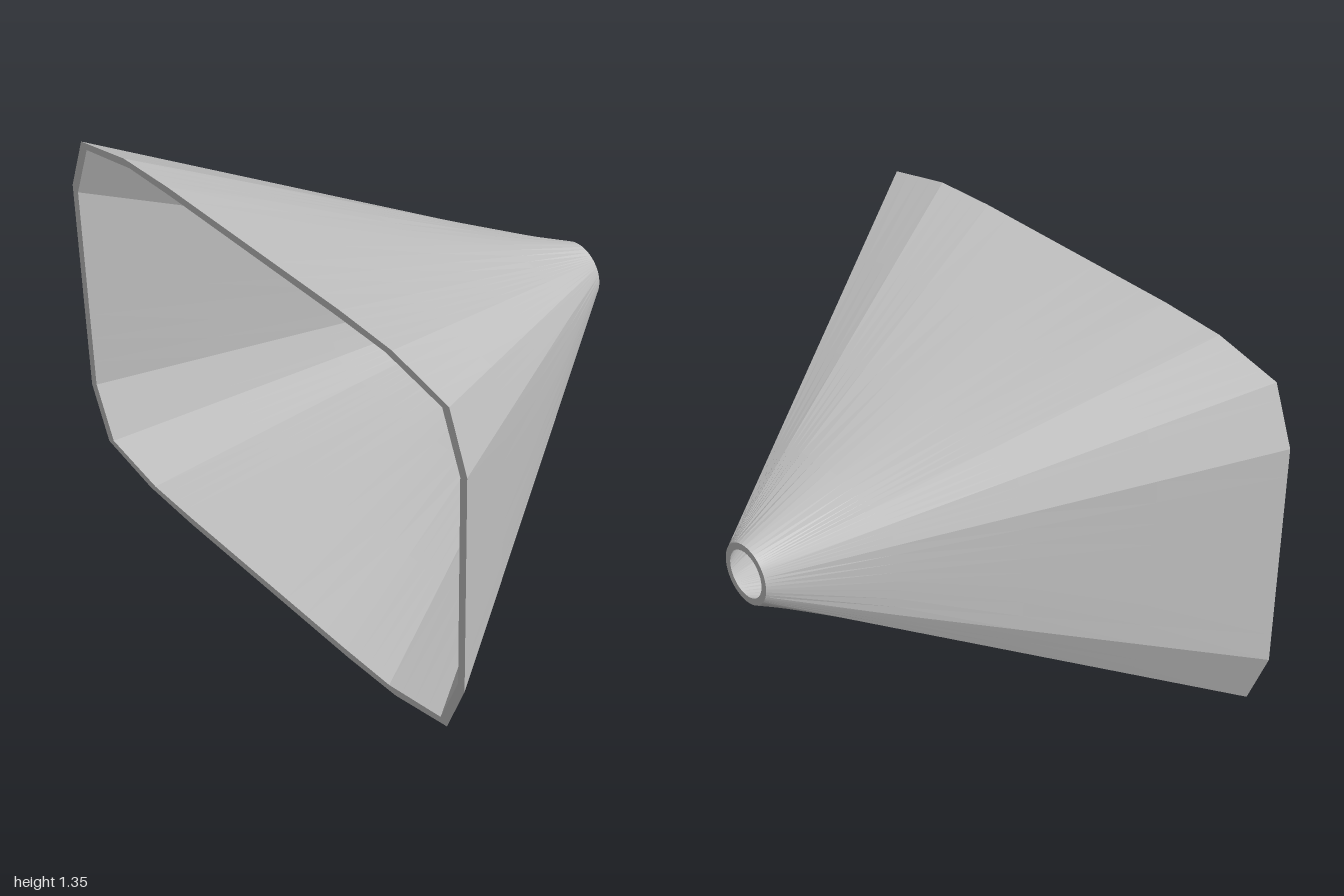
import * as THREE from 'three';

const CY = 0.677, HALF = 0.68;

// One quadrant of the mouth outline, from the side to the top
const OUTER = [[1, 0], [1, 0.41], [0.92, 0.613], [0.67, 0.667], [0.43, 0.677], [0, 0.677]];
const INNER = [[0.97, 0], [0.97, 0.395], [0.89, 0.595], [0.64, 0.645], [0.42, 0.65], [0, 0.65]];

// Full closed outline, each edge divided into short steps
function outline(quadrant, steps) {
  const q = [];
  for (let i = 0; i < quadrant.length - 1; i++) {
    const [ax, ay] = quadrant[i], [bx, by] = quadrant[i + 1];
    for (let s = 0; s < steps; s++) {
      const t = s / steps;
      q.push([ax + (bx - ax) * t, ay + (by - ay) * t]);
    }
  }
  const top = quadrant[quadrant.length - 1];
  const half = [...q, top, ...q.slice(1).reverse().map(([x, y]) => [-x, y])];
  return [...half, ...half.map(([x, y]) => [-x, -y])];
}

// Rings running from the mouth (t = 0) to the round neck (t = 1)
function ring(points, radius, t) {
  return points.map(([x, y]) => {
    const k = 1 - t + (t * radius) / Math.hypot(x, y);
    return [x * k, CY + y * k, HALF * (1 - 2 * t)];
  });
}

// Skin a list of rings as a flat-shaded surface
function skin(rings) {
  const pos = [];
  for (let r = 0; r < rings.length - 1; r++) {
    const a = rings[r], b = rings[r + 1], n = a.length;
    for (let i = 0; i < n; i++) {
      const j = (i + 1) % n;
      pos.push(...a[i], ...b[j], ...b[i], ...a[i], ...a[j], ...b[j]);
    }
  }
  const g = new THREE.BufferGeometry();
  g.setAttribute('position', new THREE.Float32BufferAttribute(pos, 3));
  g.computeVertexNormals();
  return g;
}

export function createModel() {
  const group = new THREE.Group();
  group.name = 'horn';
  const grey = new THREE.MeshStandardMaterial({ color: 0xc8c8c8 });
  grey.name = 'grey';

  const outer = outline(OUTER, 4), inner = outline(INNER, 4);
  const levels = [0, 0.25, 0.5, 0.75, 1];
  const outerRings = levels.map((t) => ring(outer, 0.107, t));
  const innerRings = levels.map((t) => ring(inner, 0.083, t));

  const add = (name, rings) => {
    const mesh = new THREE.Mesh(skin(rings), grey);
    mesh.name = name;
    group.add(mesh);
  };

  // Ring order sets which way each surface faces
  add('outerWall', [...outerRings].reverse());
  add('innerWall', innerRings);
  add('mouthRim', [outerRings[0], innerRings[0]]);
  add('neckRim', [innerRings[4], outerRings[4]]);
  return group;
}
